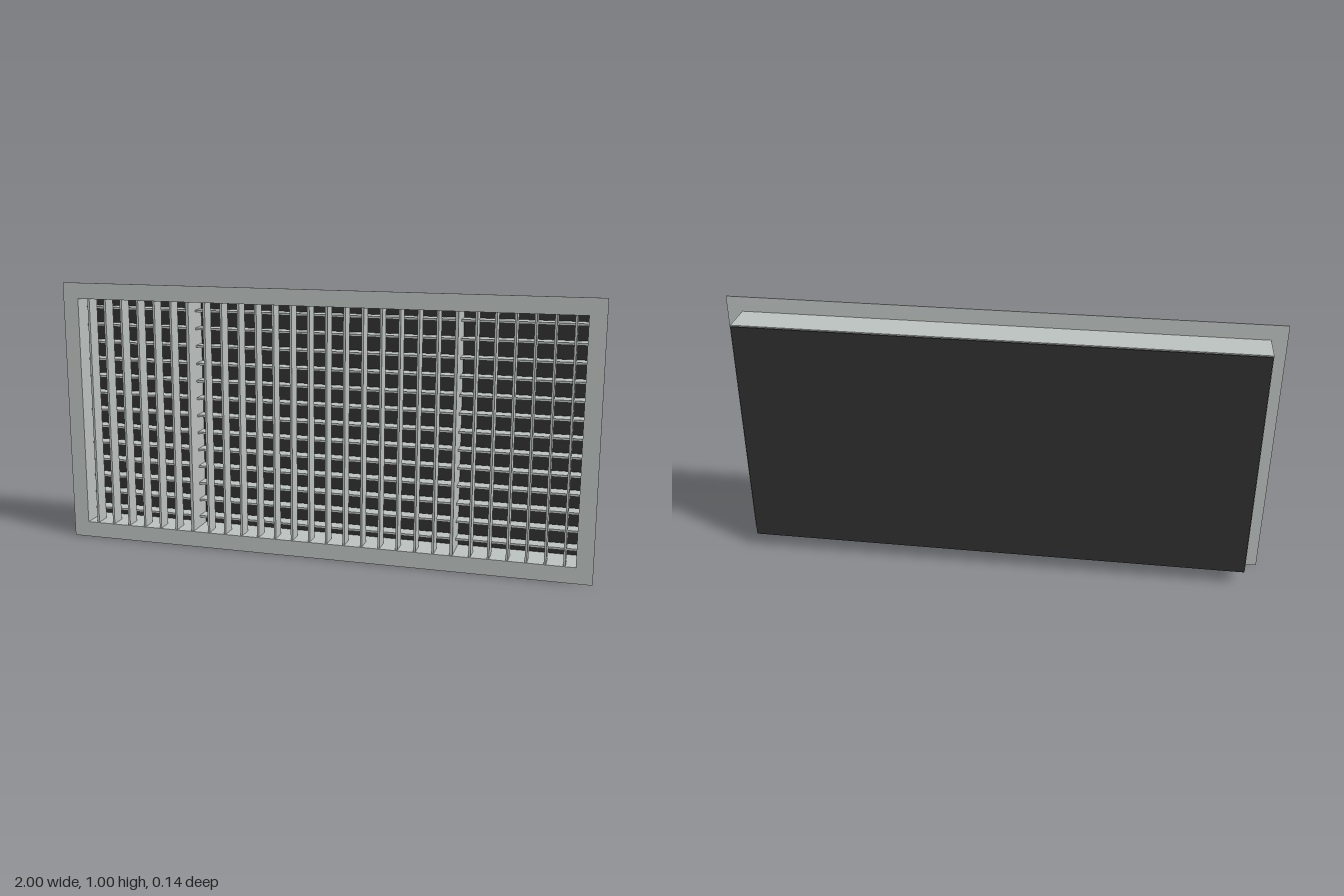
import * as THREE from 'three';

const metal = new THREE.MeshStandardMaterial({ color: 0xbcc2c0 });
metal.name = 'paleGreyMetal';
const dark = new THREE.MeshStandardMaterial({ color: 0x303030 });
dark.name = 'darkBacking';

const MID_Y = 0.5;

// Rectangular ring extruded from z0 to z1
function ring(name, outerW, outerH, innerW, innerH, z0, z1) {
  const rect = (path, w, h) => path
    .moveTo(-w / 2, -h / 2).lineTo(w / 2, -h / 2)
    .lineTo(w / 2, h / 2).lineTo(-w / 2, h / 2).closePath();
  const shape = rect(new THREE.Shape(), outerW, outerH);
  shape.holes.push(rect(new THREE.Path(), innerW, innerH));
  const geo = new THREE.ExtrudeGeometry(shape, { depth: z1 - z0, bevelEnabled: false });
  const mesh = new THREE.Mesh(geo, metal);
  mesh.name = name;
  mesh.position.set(0, MID_Y, z0);
  return mesh;
}

// Box centred on x, y and spanning z0 to z1
function bar(name, w, h, x, y, z0, z1, material = metal) {
  const mesh = new THREE.Mesh(new THREE.BoxGeometry(w, h, z1 - z0), material);
  mesh.name = name;
  mesh.position.set(x, y, (z0 + z1) / 2);
  return mesh;
}

export function createModel() {
  const model = new THREE.Group();
  model.name = 'ventGrille';

  // Thin front flange and the sleeve behind it
  model.add(ring('flange', 2, 1, 1.88, 0.88, 0.066, 0.07));
  model.add(ring('sleeve', 1.888, 0.888, 1.88, 0.88, -0.0625, 0.066));

  // Upright blades in front, with two slightly wider mullions
  const uprights = new THREE.Group();
  uprights.name = 'verticalBlades';
  for (let i = 0; i < 28; i++) {
    const x = -0.9 + i / 15;
    const mullion = i === 6 || i === 21;
    uprights.add(bar(mullion ? 'mullion' : 'verticalBlade',
      mullion ? 0.011 : 0.008, 0.88, x, MID_Y, mullion ? -0.06 : 0.004, 0.064));
  }
  model.add(uprights);

  // Level blades behind
  const levels = new THREE.Group();
  levels.name = 'horizontalBlades';
  for (let i = 0; i < 13; i++) {
    levels.add(bar('horizontalBlade', 1.88, 0.008, 0, 0.1 + i / 15, -0.056, 0));
  }
  model.add(levels);

  // Dark panel closing the back
  model.add(bar('backPanel', 1.882, 0.882, 0, MID_Y, -0.07, -0.0655, dark));

  return model;
}
